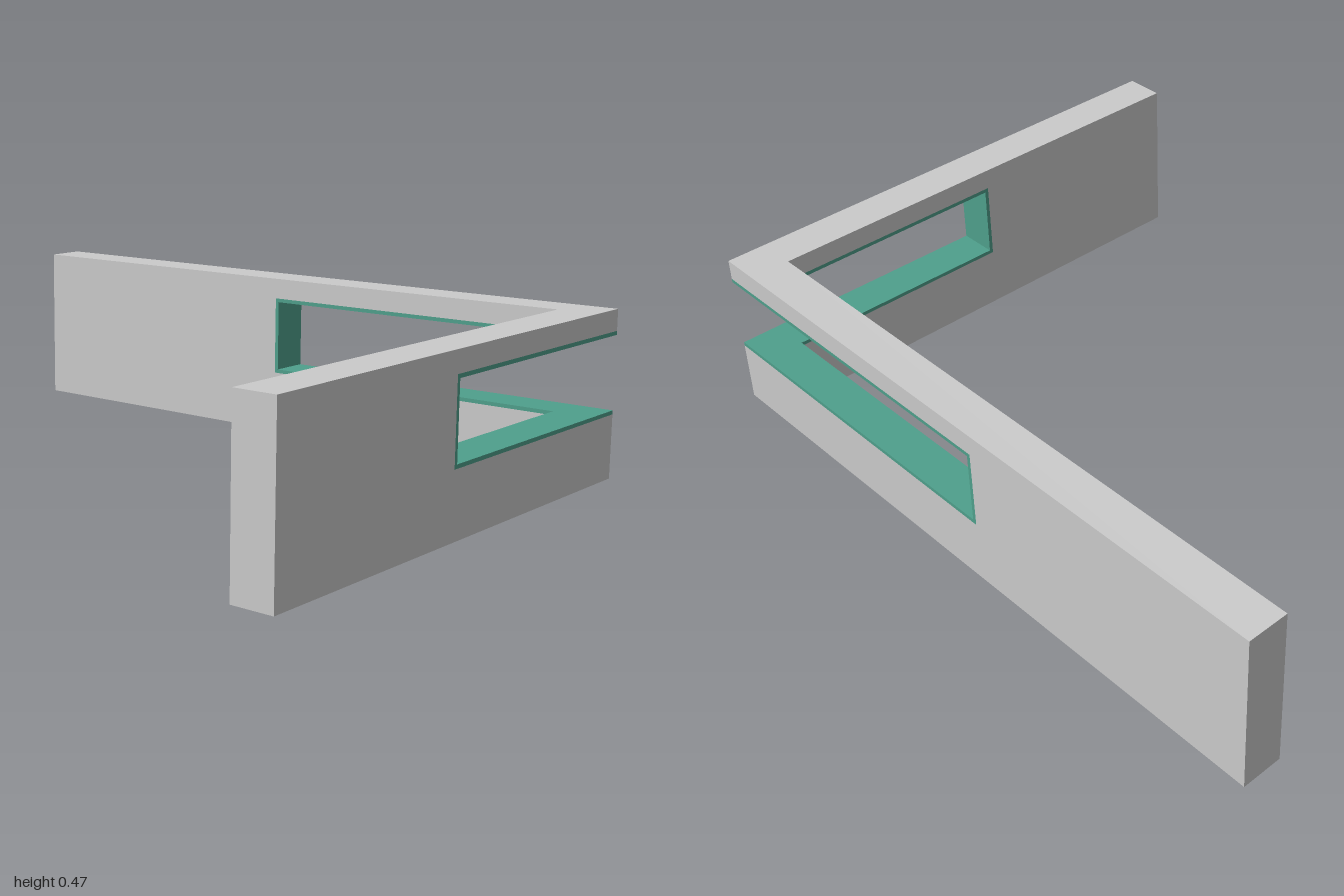
import * as THREE from 'three';

const HEIGHT = 0.47, THICK = 0.117, DEPTH = 0.762; // wall height, thickness, half extent in z
const SILL = 0.18, HEAD = 0.41, LINING = 0.011; // window opening and its lining

const grey = new THREE.MeshStandardMaterial({ color: 0xcccccc });
const green = new THREE.MeshStandardMaterial({ color: 0x4fa08c });

// Outline running u away from the corner, with a notch open towards the corner.
function notchedOutline(dir, length, bottom, top, notchLength, notchBottom, notchTop) {
  return new THREE.Shape([
    [0, bottom], [length, bottom], [length, top], [0, top],
    [0, notchTop], [notchLength, notchTop], [notchLength, notchBottom], [0, notchBottom],
  ].map(([u, y]) => new THREE.Vector2(dir * u, y)));
}

// Extrude an outline through the wall thickness and mitre its corner end at 45 degrees.
function mitredExtrude(shape, dir) {
  const geometry = new THREE.ExtrudeGeometry(shape, { depth: THICK, bevelEnabled: false });
  const p = geometry.attributes.position;
  for (let i = 0; i < p.count; i++) {
    if (Math.abs(p.getX(i)) < 1e-6) p.setX(i, dir * p.getZ(i));
  }
  geometry.computeVertexNormals();
  return geometry;
}

// One wall with its half of the corner window.
function createArm(name, dir, length, opening) {
  const arm = new THREE.Group();
  arm.name = name;

  const wall = new THREE.Mesh(
    mitredExtrude(notchedOutline(dir, length, 0, HEIGHT, opening, SILL, HEAD), dir), grey);
  wall.name = 'wall';

  const lining = new THREE.Mesh(
    mitredExtrude(notchedOutline(dir, opening, SILL, HEAD,
      opening - LINING, SILL + LINING, HEAD - LINING), dir), green);
  lining.name = 'windowLining';

  arm.add(wall, lining);
  return arm;
}

export function createModel() {
  const model = new THREE.Group();
  model.name = 'cornerWallWithWindow';

  // Long wall across the back
  const backWall = createArm('backWall', -1, 2, 1.058);
  backWall.position.set(1, 0, -DEPTH);

  // Shorter wall coming forward on the left
  const sideWall = createArm('sideWall', 1, 2 * DEPTH, 0.82);
  sideWall.rotation.y = -Math.PI / 2;
  sideWall.position.set(1, 0, -DEPTH);

  model.add(backWall, sideWall);
  return model;
}
